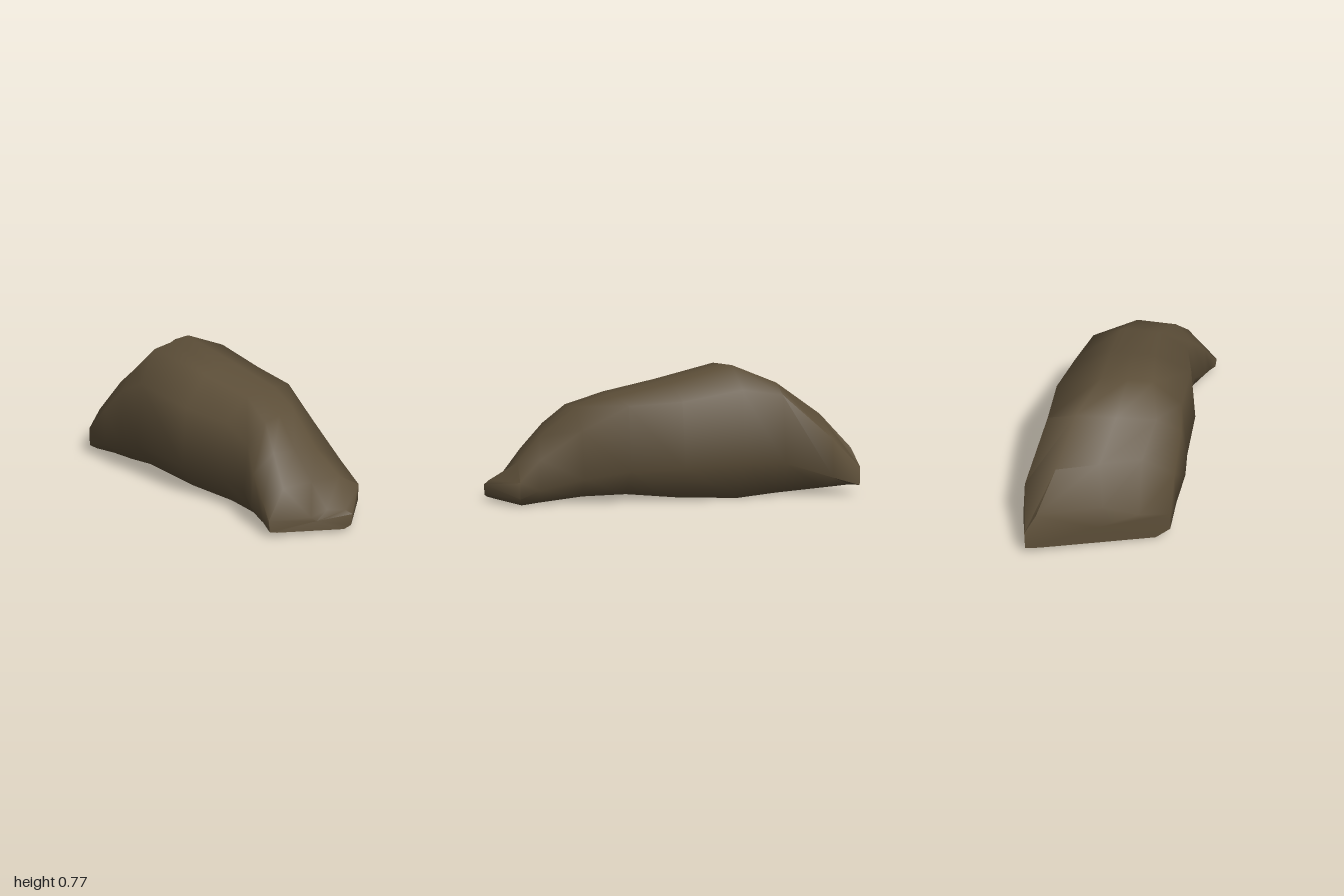
import * as THREE from 'three';
import { toCreasedNormals } from 'three/addons/utils/BufferGeometryUtils.js';

// Cross-sections from the back tip to the front tip: left edge, left crest, right crest, right edge
const SECTIONS = [
  [[-0.80, 0.17, -0.25], [-0.75, 0.23, -0.44], [-0.46, 0.28, -0.93], [-0.44, 0.17, -1.00]],
  [[-0.69, 0.33, -0.14], [-0.60, 0.46, -0.30], [-0.40, 0.48, -0.75], [-0.28, 0.36, -0.88]],
  [[-0.57, 0.50, 0.00], [-0.50, 0.60, -0.12], [-0.27, 0.67, -0.52], [-0.14, 0.62, -0.62]],
  [[-0.45, 0.58, 0.10], [-0.37, 0.75, -0.05], [-0.18, 0.77, -0.27], [0.03, 0.66, -0.44]],
  [[-0.18, 0.53, 0.39], [-0.07, 0.67, 0.20], [0.10, 0.68, 0.00], [0.25, 0.60, -0.16]],
  [[0.05, 0.50, 0.55], [0.17, 0.61, 0.42], [0.33, 0.61, 0.25], [0.42, 0.58, 0.10]],
  [[0.17, 0.42, 0.69], [0.27, 0.53, 0.63], [0.43, 0.55, 0.45], [0.55, 0.44, 0.33]],
  [[0.20, 0.30, 0.82], [0.31, 0.41, 0.77], [0.55, 0.38, 0.63], [0.70, 0.27, 0.53]],
  [[0.25, 0.18, 0.92], [0.36, 0.25, 0.90], [0.68, 0.24, 0.70], [0.80, 0.15, 0.60]],
  [[0.28, 0.10, 1.00], [0.51, 0.10, 0.95], [0.70, 0.12, 0.89], [0.74, 0.10, 0.90]],
];
const LAST = SECTIONS.length - 1;

// Expands a section to a closed ring with steep, slightly bulging walls and undercut feet
function makeRing(section, i) {
  const [l, a, b, r] = section.map((p) => new THREE.Vector3(...p));
  const mid = a.clone().lerp(b, 0.5);
  // Notches between the two lobes of each end
  if (i === 0) mid.z += 0.1;
  if (i === LAST) mid.z -= 0.06;
  const bulge = (edge, other) => {
    const outward = edge.clone().sub(other).setY(0).normalize();
    return edge.clone().addScaledVector(outward, (edge.y - 0.17) * 0.1).setY(edge.y * 0.35);
  };
  // The underside arches gently between the resting points
  const foot = (edge, other) => edge.clone().lerp(other, 0.1)
    .setY(0.025 + 0.025 * Math.cos((edge.z - 0.15) * Math.PI / 0.55));
  return [foot(l, r), bulge(l, r), l, a, mid, b, r, bulge(r, l), foot(r, l)];
}

function makeRockGeometry() {
  const rings = SECTIONS.map(makeRing);
  const n = rings[0].length;
  const points = rings.flat();
  const index = [];
  for (let i = 0; i < LAST; i++) {
    for (let j = 0; j < n; j++) {
      const p = i * n + j, q = i * n + (j + 1) % n;
      index.push(p, p + n, q, q, p + n, q + n);
    }
  }
  // End faces
  [0, LAST].forEach((i) => {
    const centre = new THREE.Vector3();
    rings[i].forEach((p) => centre.addScaledVector(p, 1 / n));
    const c = points.push(centre) - 1;
    for (let j = 0; j < n; j++) {
      const p = i * n + j, q = i * n + (j + 1) % n;
      if (i === 0) index.push(c, p, q);
      else index.push(c, q, p);
    }
  });
  const geometry = new THREE.BufferGeometry().setFromPoints(points);
  geometry.setIndex(index);
  return toCreasedNormals(geometry, 1.3);
}

export function createModel() {
  const stone = new THREE.MeshStandardMaterial({ color: 0x5c4e38 });
  stone.name = 'brownStone';
  const rock = new THREE.Mesh(makeRockGeometry(), stone);
  rock.name = 'rock';
  const model = new THREE.Group();
  model.name = 'boulder';
  model.add(rock);
  return model;
}
